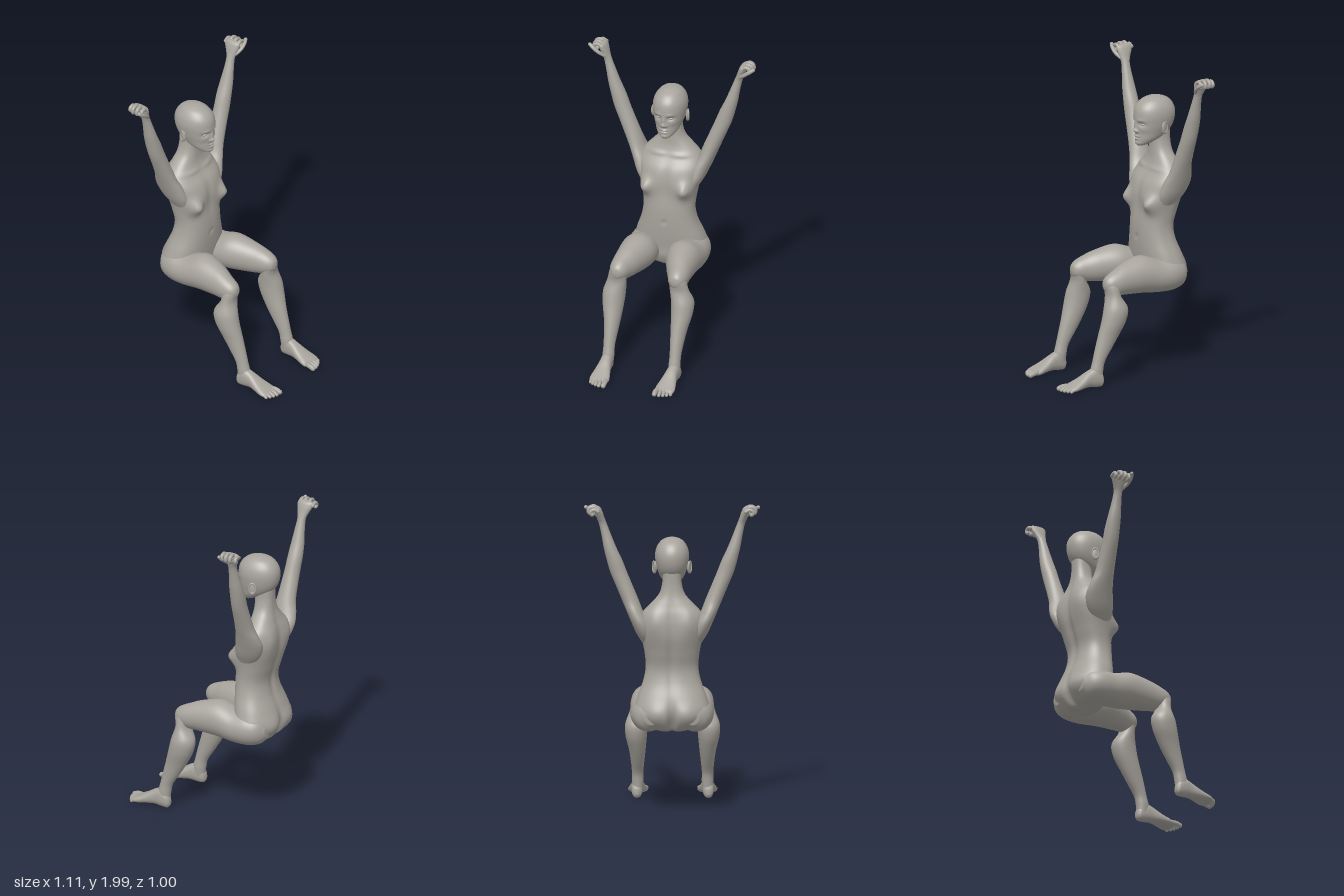
import * as THREE from 'three';
import { mergeGeometries } from 'three/addons/utils/BufferGeometryUtils.js';

const V = (x, y, z) => new THREE.Vector3(x, y, z);

// Smooth closed skin through rows [t, centreX, radiusX, min, max] along the y or z axis.
// min/max bound the other axis. Bumps are [side, x, y, spreadX, spreadY, push in z].
function loft(rows, { axis = 'y', steps = 48, sides = 40, power = 2, bumps = [] } = {}) {
  const a = new THREE.CatmullRomCurve3(rows.map(r => V(r[0], r[1], r[2])), false, 'catmullrom', 0.5);
  const b = new THREE.CatmullRomCurve3(rows.map(r => V(r[3], r[4], 0)), false, 'catmullrom', 0.5);
  const pos = [], index = [];
  const bend = v => Math.sign(v) * Math.pow(Math.abs(v), 2 / power);
  for (let j = -1; j <= steps + 1; j++) {
    const u = THREE.MathUtils.clamp(j / steps, 0, 1);
    const open = j < 0 || j > steps ? 0 : 1; // first and last rings close to a point
    const p = a.getPoint(u), q = b.getPoint(u);
    for (let i = 0; i < sides; i++) {
      const ang = (i / sides) * Math.PI * 2, s = Math.sin(ang);
      const x = p.y + open * p.z * bend(Math.cos(ang));
      let w = (q.x + q.y) / 2 + open * (q.y - q.x) / 2 * bend(s);
      for (const [side, bx, by, sx, sy, push] of bumps) {
        const k = THREE.MathUtils.clamp(side * s * 2.5, 0, 1);
        w += open * k * push * Math.exp(-(((Math.abs(x) - bx) / sx) ** 2) - ((p.x - by) / sy) ** 2);
      }
      if (axis === 'y') pos.push(x, p.x, w); else pos.push(x, w, p.x);
    }
  }
  for (let j = 0; j < steps + 2; j++) for (let i = 0; i < sides; i++) {
    const n = (i + 1) % sides, lo = j * sides, hi = lo + sides;
    if (axis === 'y') index.push(lo + i, hi + i, lo + n, lo + n, hi + i, hi + n);
    else index.push(lo + i, lo + n, hi + i, lo + n, hi + n, hi + i);
  }
  const g = new THREE.BufferGeometry();
  g.setAttribute('position', new THREE.Float32BufferAttribute(pos, 3));
  g.setIndex(index);
  g.computeVertexNormals();
  return g;
}

// Round-ended digit following a few points
function digit(points, r) {
  const pts = points.map(p => V(...p));
  const ends = [pts[0], pts[pts.length - 1]].map(p => new THREE.SphereGeometry(r, 12, 8).translate(p.x, p.y, p.z));
  return mergeGeometries([new THREE.TubeGeometry(new THREE.CatmullRomCurve3(pts), 16, r, 12), ...ends]);
}

function ellipsoid(x, y, z, rx, ry, rz, turn = 0) {
  return new THREE.SphereGeometry(1, 24, 16).scale(rx, ry, rz).rotateY(turn).translate(x, y, z);
}

function mirrored(geo) {
  const g = geo.clone(), idx = g.index.array;
  g.attributes.position.array.forEach((v, i, arr) => { if (i % 3 === 0) arr[i] = -v; });
  g.attributes.normal.array.forEach((v, i, arr) => { if (i % 3 === 0) arr[i] = -v; });
  for (let i = 0; i < idx.length; i += 3) [idx[i], idx[i + 1]] = [idx[i + 1], idx[i]];
  return g;
}

export function createModel() {
  const model = new THREE.Group();
  model.name = 'seatedFigure';
  const skin = new THREE.MeshStandardMaterial({ color: 0xa8a49d });
  skin.name = 'warm grey';
  const add = (name, geo) => {
    const m = new THREE.Mesh(geo, skin);
    m.name = name;
    model.add(m);
  };
  const addPair = (name, geo) => {
    add('left' + name, geo);
    add('right' + name, mirrored(geo));
  };

  // Torso and neck
  add('torso', loft([
    [0.545, 0, 0.09, -0.40, -0.26], [0.565, 0, 0.15, -0.44, -0.24], [0.62, 0, 0.215, -0.475, -0.215],
    [0.68, 0, 0.236, -0.485, -0.21], [0.76, 0, 0.217, -0.465, -0.2], [0.86, 0, 0.181, -0.43, -0.193],
    [0.95, 0, 0.166, -0.42, -0.193], [1.05, 0, 0.175, -0.447, -0.2], [1.15, 0, 0.195, -0.475, -0.2],
    [1.23, 0, 0.208, -0.48, -0.222], [1.30, 0, 0.188, -0.47, -0.27], [1.36, 0, 0.135, -0.452, -0.295],
    [1.42, 0, 0.083, -0.437, -0.303], [1.49, 0, 0.062, -0.43, -0.305], [1.58, 0, 0.06, -0.43, -0.3],
  ], {
    steps: 100, sides: 96, power: 2.3,
    bumps: [
      [1, 0.135, 1.1, 0.047, 0.055, 0.055], [1, 0.15, 1.1, 0.011, 0.011, 0.009], // breasts
      [1, 0, 0.87, 0.014, 0.014, -0.01], [1, 0, 1.15, 0.03, 0.12, -0.01], // navel and breastbone
      [1, 0.08, 1.315, 0.06, 0.012, 0.008], // collarbones
      [-1, 0, 0.6, 0.02, 0.1, 0.045], [-1, 0.1, 0.65, 0.07, 0.08, -0.018], // seat
      [-1, 0, 1.08, 0.028, 0.28, 0.016], [-1, 0.11, 1.25, 0.05, 0.09, -0.014], // spine and shoulder blades
    ],
  }));

  // Head with modelled face
  add('head', loft([
    [1.466, 0, 0.022, -0.26, -0.2], [1.48, 0, 0.045, -0.295, -0.193], [1.51, 0, 0.07, -0.36, -0.194],
    [1.55, 0, 0.086, -0.42, -0.194], [1.60, 0, 0.1, -0.452, -0.19], [1.66, 0, 0.107, -0.463, -0.188],
    [1.71, 0, 0.098, -0.452, -0.2], [1.75, 0, 0.072, -0.42, -0.235], [1.77, 0, 0.04, -0.375, -0.28],
    [1.776, 0, 0.012, -0.34, -0.315],
  ], {
    steps: 110, sides: 112, power: 2.1,
    bumps: [
      [1, 0, 1.565, 0.013, 0.014, 0.021], [1, 0, 1.595, 0.011, 0.026, 0.012], [1, 0.016, 1.56, 0.008, 0.009, 0.009], // nose
      [1, 0.042, 1.61, 0.021, 0.014, -0.014], [1, 0.04, 1.636, 0.026, 0.01, 0.005], // sockets and brows
      [1, 0, 1.528, 0.022, 0.007, 0.01], [1, 0, 1.51, 0.02, 0.007, 0.009], [1, 0, 1.519, 0.024, 0.003, -0.005], // lips
      [1, 0, 1.485, 0.022, 0.012, 0.006], [1, 0.06, 1.575, 0.02, 0.018, 0.004], // chin and cheeks
    ],
  }));
  addPair('Eye', ellipsoid(0.041, 1.608, -0.217, 0.016, 0.009, 0.012, 0.3));
  addPair('Ear', mergeGeometries([
    ellipsoid(0.107, 1.585, -0.335, 0.009, 0.04, 0.025, 0.35),
    new THREE.TorusGeometry(0.022, 0.005, 8, 24).scale(1, 1.55, 1).rotateY(Math.PI / 2 + 0.4).translate(0.114, 1.588, -0.338),
  ]));

  // Raised arms and palms
  addPair('Arm', loft([
    [1.08, 0.155, 0.018, -0.36, -0.27], [1.16, 0.175, 0.046, -0.43, -0.255], [1.24, 0.2, 0.056, -0.46, -0.27],
    [1.31, 0.233, 0.052, -0.452, -0.292], [1.38, 0.261, 0.053, -0.432, -0.305], [1.47, 0.298, 0.053, -0.425, -0.315],
    [1.56, 0.335, 0.053, -0.422, -0.323], [1.64, 0.362, 0.049, -0.424, -0.328], [1.72, 0.39, 0.04, -0.42, -0.335],
    [1.80, 0.413, 0.031, -0.411, -0.345], [1.87, 0.434, 0.025, -0.408, -0.352], [1.91, 0.449, 0.025, -0.422, -0.345],
    [1.95, 0.463, 0.026, -0.442, -0.336], [1.975, 0.469, 0.02, -0.443, -0.338], [1.985, 0.472, 0.008, -0.42, -0.36],
  ], { steps: 72 }));

  // Curled fingers and thumbs
  const fingers = [];
  for (let k = 0; k < 4; k++) {
    const z = -0.35 - 0.031 * k, e = k === 3 ? -0.012 : k === 0 ? -0.004 : 0;
    fingers.push(digit([[0.465, 1.96, z], [0.49, 1.983 + e, z], [0.52 + e, 1.974 + e, z],
      [0.524 + e, 1.95, z], [0.502, 1.94, z]], 0.0125));
  }
  fingers.push(digit([[0.452, 1.905, -0.352], [0.485, 1.93, -0.336], [0.52, 1.957, -0.335], [0.543, 1.972, -0.345]], 0.012));
  addPair('Fingers', mergeGeometries(fingers));

  // Thighs reaching forward to the knees
  addPair('Thigh', loft([
    [-0.465, 0.13, 0.04, 0.6, 0.69], [-0.42, 0.14, 0.09, 0.555, 0.735], [-0.35, 0.15, 0.108, 0.537, 0.755],
    [-0.25, 0.152, 0.112, 0.537, 0.755], [-0.13, 0.151, 0.111, 0.55, 0.789], [0, 0.171, 0.087, 0.563, 0.765],
    [0.08, 0.189, 0.069, 0.572, 0.735], [0.13, 0.194, 0.054, 0.59, 0.712], [0.158, 0.195, 0.032, 0.615, 0.688],
    [0.166, 0.195, 0.01, 0.64, 0.662],
  ], { axis: 'z', steps: 60, sides: 48 }));

  // Lower legs
  addPair('Shin', loft([
    [0.05, 0.222, 0.033, 0.2, 0.275], [0.11, 0.22, 0.037, 0.193, 0.278], [0.17, 0.22, 0.036, 0.178, 0.263],
    [0.25, 0.22, 0.043, 0.127, 0.243], [0.33, 0.222, 0.053, 0.078, 0.221], [0.42, 0.228, 0.067, 0.032, 0.196],
    [0.5, 0.226, 0.072, 0.02, 0.177], [0.58, 0.208, 0.062, 0.062, 0.155], [0.65, 0.198, 0.055, 0.06, 0.163],
    [0.7, 0.194, 0.035, 0.07, 0.14],
  ], { steps: 60, sides: 48 }));

  // Feet and toes
  addPair('Foot', loft([
    [0.193, 0.226, 0.014, 0.025, 0.065], [0.21, 0.225, 0.031, 0.006, 0.1], [0.25, 0.223, 0.037, 0.006, 0.13],
    [0.3, 0.22, 0.04, 0.012, 0.114], [0.36, 0.219, 0.053, 0.008, 0.078], [0.41, 0.218, 0.063, 0.003, 0.052],
    [0.44, 0.218, 0.058, 0.005, 0.038], [0.452, 0.216, 0.04, 0.01, 0.03],
  ], { axis: 'z', steps: 40, power: 2.3 }));
  const toes = [[0.17, 0.484, 0.016], [0.2, 0.484, 0.0115], [0.224, 0.476, 0.011], [0.246, 0.465, 0.0105], [0.266, 0.45, 0.0105]];
  addPair('Toes', mergeGeometries(toes.map(([x, z, r]) =>
    digit([[x + (0.218 - x) * 0.15, 0.026, z - 0.07], [x, 0.026, z - 0.03], [x, r + 0.002, z]], r))));

  return model;
}
